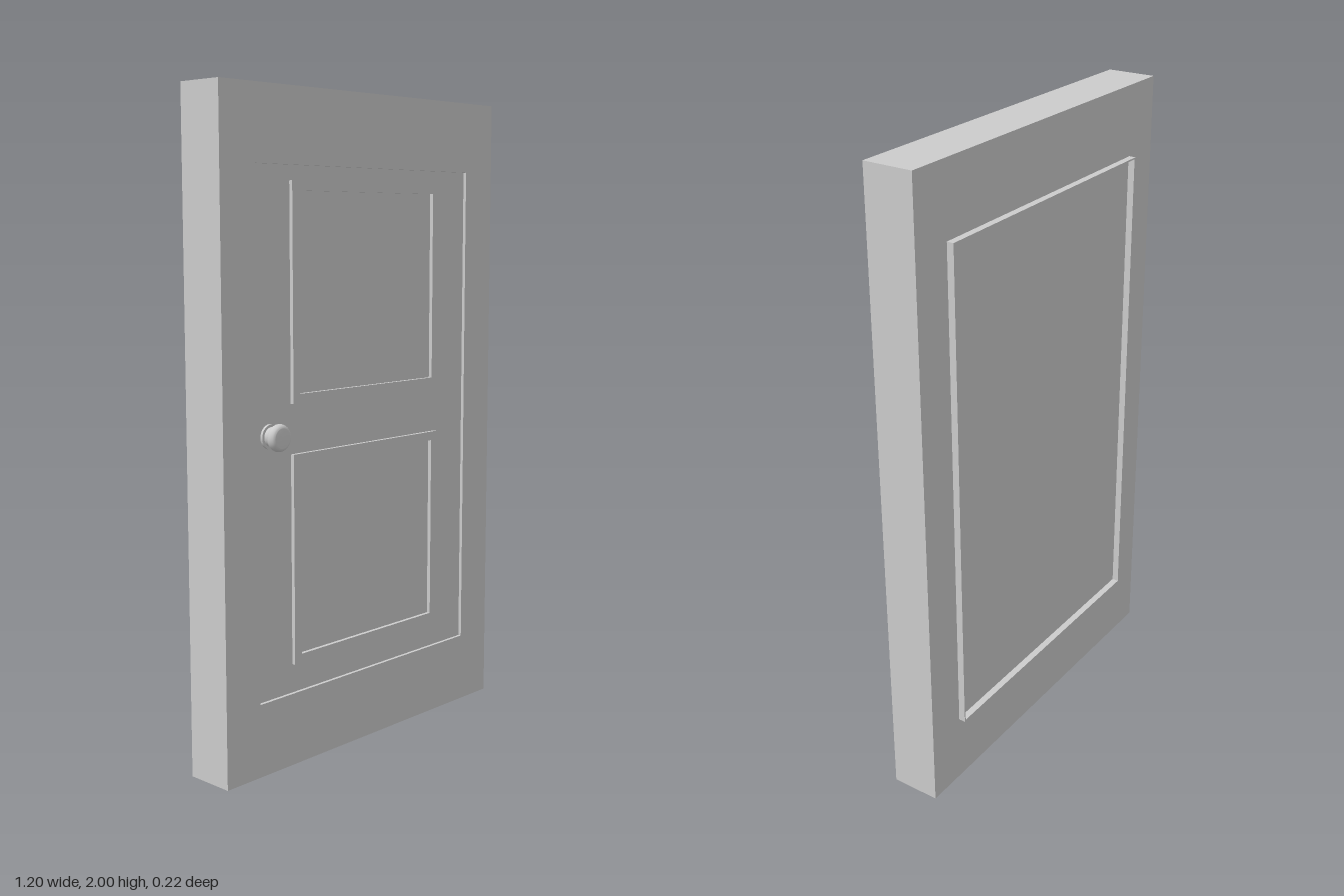
import * as THREE from 'three';

const grey = new THREE.MeshStandardMaterial({ color: 0xcccccc });

function mesh(name, geometry, parent) {
  const m = new THREE.Mesh(geometry, grey);
  m.name = name;
  parent.add(m);
  return m;
}

// Corner points of a rectangle
function corners([x0, x1, y0, y1]) {
  return [[x0, y0], [x1, y0], [x1, y1], [x0, y1]].map(([x, y]) => new THREE.Vector2(x, y));
}

// Rectangular ring between two rectangles, spanning z0 to z1
function ring(outer, inner, z0, z1) {
  const shape = new THREE.Shape(corners(outer));
  shape.holes.push(new THREE.Path(corners(inner)));
  return new THREE.ExtrudeGeometry(shape, { depth: z1 - z0, bevelEnabled: false }).translate(0, 0, z0);
}

// Rectangle moved inwards by t
const inset = ([x0, x1, y0, y1], t) => [x0 + t, x1 - t, y0 + t, y1 - t];

export function createModel() {
  const group = new THREE.Group();
  group.name = 'door';

  // Surrounding frame with the leaf set slightly back at the front
  const opening = [-0.468, 0.468, 0.222, 1.78];
  const frameBack = -0.09;
  const leafFront = 0.055;
  mesh('frame', ring([-0.6, 0.6, 0, 2], opening, frameBack, 0.0655), group);

  const [x0, x1, y0, y1] = opening;
  const leaf = mesh('leaf', new THREE.BoxGeometry(x1 - x0, y1 - y0, leafFront - frameBack), group);
  leaf.position.set((x0 + x1) / 2, (y0 + y1) / 2, (leafFront + frameBack) / 2);

  // Thin lip standing out around the leaf at the back
  mesh('backLip', ring(opening, inset(opening, 0.005), -0.1115, frameBack), group);

  // Raised mouldings around the two panels
  for (const [name, bottom, top] of [['lowerMoulding', 0.31, 0.946], ['upperMoulding', 1.095, 1.736]]) {
    const outer = [-0.327, 0.327, bottom, top];
    mesh(name, ring(outer, inset(outer, 0.028), leafFront - 0.002, 0.067), group);
  }

  // Turned knob: round base plate, straight stem and thick rounded head with a flat face
  const knob = new THREE.Group();
  knob.name = 'knob';
  knob.rotation.x = Math.PI / 2;
  knob.position.set(-0.412, 1.008, leafFront);
  group.add(knob);

  mesh('knobPlate', new THREE.CylinderGeometry(0.037, 0.037, 0.008, 32).translate(0, 0.004, 0), knob);
  mesh('knobStem', new THREE.CylinderGeometry(0.029, 0.029, 0.026, 32).translate(0, 0.013, 0), knob);
  const profile = new THREE.SplineCurve([
    [0.028, 0.022], [0.035, 0.026], [0.039, 0.032], [0.0405, 0.039],
    [0.039, 0.046], [0.035, 0.052], [0.029, 0.055],
  ].map(([r, h]) => new THREE.Vector2(r, h))).getPoints(18);
  profile.push(new THREE.Vector2(0.015, 0.0562), new THREE.Vector2(0, 0.0565));
  mesh('knobHead', new THREE.LatheGeometry(profile, 32), knob);

  return group;
}
